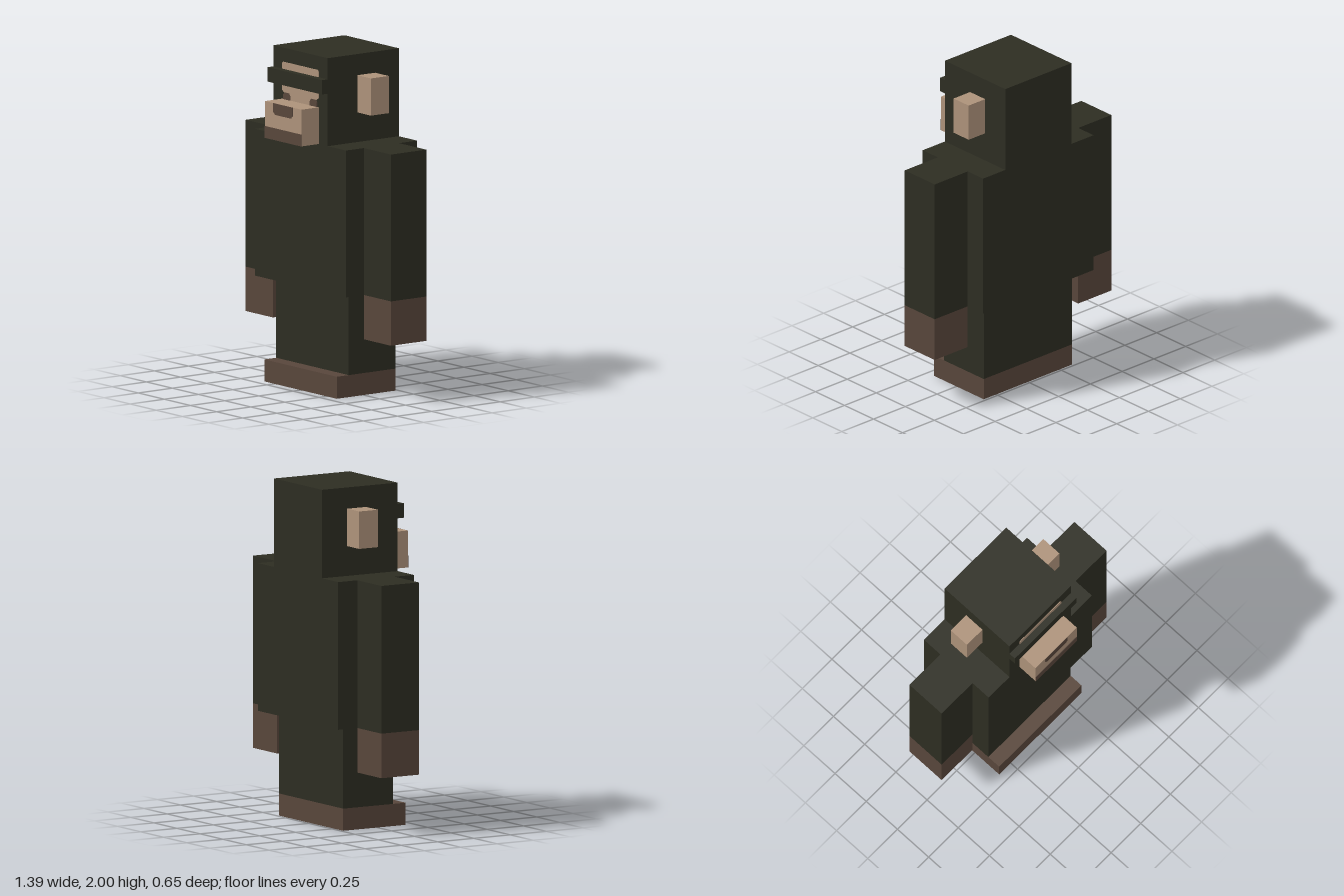
import * as THREE from 'three';

const mat = (name, color) => {
  const m = new THREE.MeshStandardMaterial({ color });
  m.name = name;
  return m;
};

export function createModel() {
  const model = new THREE.Group();
  model.name = 'blockyApe';
  const fur = mat('dark fur', 0x2d2d22);
  const skin = mat('tan skin', 0xad927a);
  const hide = mat('brown hide', 0x58463b);

  // Box given by its extents on each axis
  const box = (name, material, [x0, x1], [y0, y1], [z0, z1]) => {
    const mesh = new THREE.Mesh(new THREE.BoxGeometry(x1 - x0, y1 - y0, z1 - z0), material);
    mesh.position.set((x0 + x1) / 2, (y0 + y1) / 2, (z0 + z1) / 2);
    mesh.name = name;
    model.add(mesh);
  };

  // Thin plate facing +z, outlined by points
  const plate = (name, material, points, z, depth = 0.003) => {
    const shape = new THREE.Shape(points.map(([x, y]) => new THREE.Vector2(x, y)));
    const mesh = new THREE.Mesh(new THREE.ExtrudeGeometry(shape, { depth, bevelEnabled: false }), material);
    mesh.position.z = z;
    mesh.name = name;
    model.add(mesh);
  };

  // Symmetric outline from its right half, listed bottom to top
  const mirrored = (half) => [...half, ...half.map(([x, y]) => [-x, y]).reverse()];

  // Body
  box('torso', fur, [-0.435, 0.435], [0.612, 1.48], [-0.325, 0.195]);
  box('legs', fur, [-0.347, 0.347], [0.13, 0.612], [-0.235, 0.108]);
  box('feet', hide, [-0.347, 0.347], [0, 0.13], [-0.235, 0.195]);

  // Head
  box('head', fur, [-0.26, 0.26], [1.48, 2], [-0.325, 0.195]);
  box('brow', fur, [-0.26, 0.26], [1.79, 1.875], [0.195, 0.238]);
  box('muzzle', skin, [-0.174, 0.174], [1.48, 1.697], [0.195, 0.322]);

  // Painted face
  plate('face', skin, mirrored([
    [0.15, 1.69], [0.15, 1.735], [0.174, 1.75], [0.174, 1.908], [0.165, 1.917],
  ]), 0.195);
  plate('nose', hide, mirrored([
    [0.075, 1.63], [0.092, 1.645], [0.092, 1.697],
  ]), 0.322);
  plate('chin', hide, mirrored([[0.174, 1.48], [0.174, 1.55]]), 0.322);

  // Paired parts
  for (const s of [1, -1]) {
    const side = s > 0 ? 'left' : 'right';
    const span = (a, b) => (s > 0 ? [a, b] : [-b, -a]);
    box(side + 'Arm', fur, span(0.435, 0.695), [0.612, 1.48], [-0.193, 0.065]);
    box(side + 'Hand', hide, span(0.435, 0.695), [0.35, 0.612], [-0.193, 0.065]);
    box(side + 'Ear', skin, span(0.26, 0.39), [1.655, 1.875], [-0.152, -0.022]);
    const eye = [[0.092, 1.69], [0.16, 1.69], [0.16, 1.725], [0.147, 1.738], [0.105, 1.738], [0.092, 1.72]]
      .map(([x, y]) => [s * x, y]);
    plate(side + 'Eye', hide, eye, 0.195, 0.005);
  }

  return model;
}
